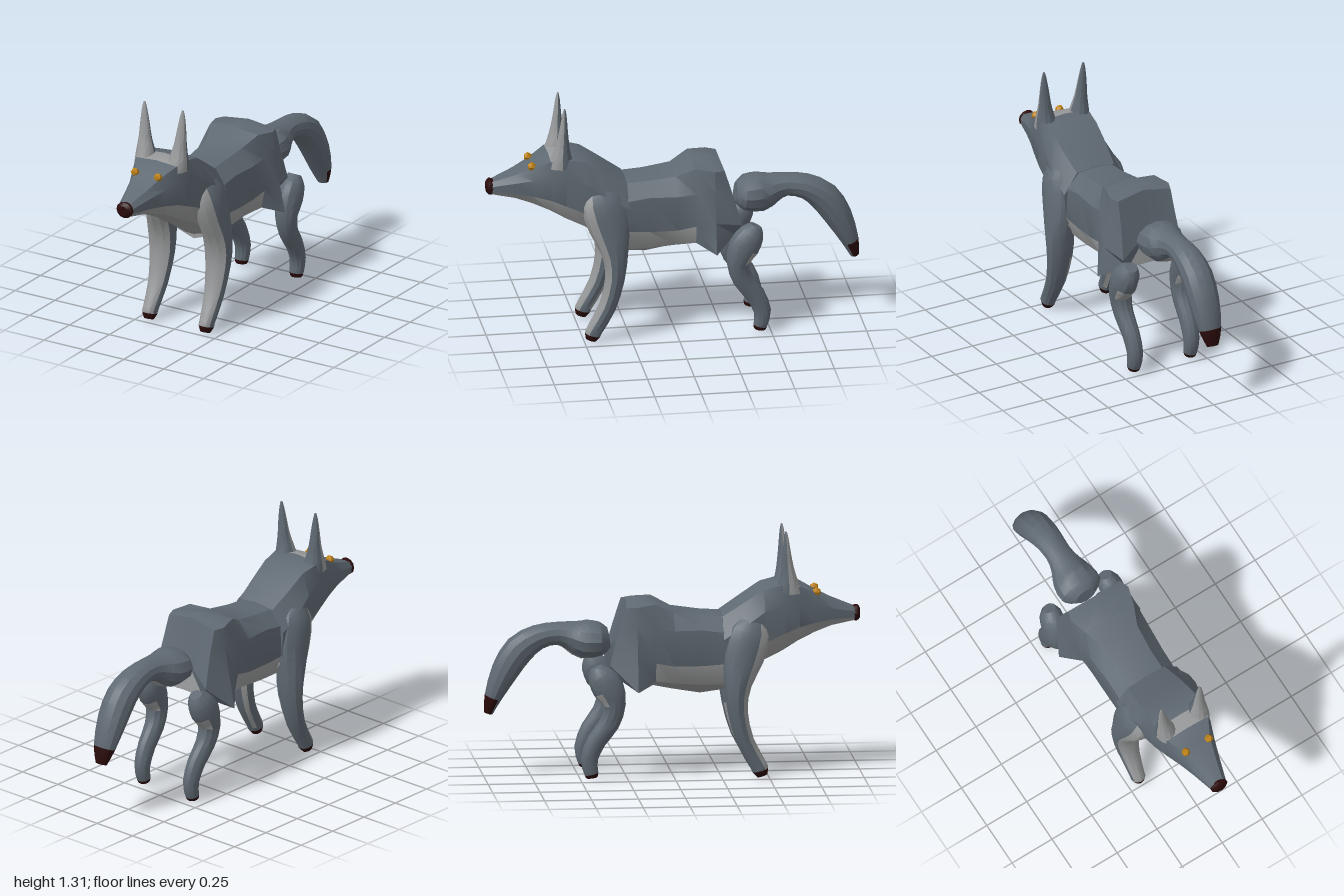
import * as THREE from 'three';
import { toCreasedNormals } from 'three/addons/utils/BufferGeometryUtils.js';

const slate = new THREE.MeshStandardMaterial({ color: 0x5f6972 });
slate.name = 'slateFur';
const pale = new THREE.MeshStandardMaterial({ color: 0x979899 });
pale.name = 'paleFur';
const dark = new THREE.MeshStandardMaterial({ color: 0x2a0a0a });
dark.name = 'darkBrown';
const amber = new THREE.MeshStandardMaterial({ color: 0xbd8013 });
amber.name = 'amber';
const palette = [slate, pale, dark];

// Skin over a row of rings, with closed ends; rule(i, j) picks the palette index of a facet
function skin(name, rings, rule) {
  const buckets = palette.map(() => []);
  const n = rings[0].length, last = rings.length - 1;
  const centre = (r) => r.reduce((s, p) => s.add(p), new THREE.Vector3()).divideScalar(n);
  const c0 = centre(rings[0]), c1 = centre(rings[last]);
  const tri = (m, ...pts) => pts.forEach((p) => buckets[m].push(p.x, p.y, p.z));
  for (let j = 0; j < n; j++) {
    const k = (j + 1) % n;
    tri(rule(0, j), c0, rings[0][k], rings[0][j]);
    tri(rule(last - 1, j), c1, rings[last][j], rings[last][k]);
    for (let i = 0; i < last; i++) {
      const a = rings[i], b = rings[i + 1], m = rule(i, j);
      tri(m, a[j], a[k], b[k]);
      tri(m, a[j], b[k], b[j]);
    }
  }
  let geo = new THREE.BufferGeometry();
  geo.setAttribute('position', new THREE.Float32BufferAttribute(buckets.flat(), 3));
  geo = toCreasedNormals(geo, 0.5);
  let start = 0;
  buckets.forEach((b, m) => {
    if (b.length) geo.addGroup(start, b.length / 3, m);
    start += b.length / 3;
  });
  const mesh = new THREE.Mesh(geo, palette);
  mesh.name = name;
  return mesh;
}

// Rounded limb along a path of [x, y, z, radius across, radius in depth];
// each path segment is split in two, and rule(segment, j) colours it
const SIDES = 12;
const facing = (j) => Math.sin(((j + 0.5) / SIDES) * Math.PI * 2);
function limb(name, path, side, rule) {
  const smooth = (pts) => new THREE.CatmullRomCurve3(pts, false, 'catmullrom').getPoints(2 * (path.length - 1));
  const spine = smooth(path.map(([x, y, z]) => new THREE.Vector3(side * x, y, z)));
  const radii = smooth(path.map(([, , , across, depth]) => new THREE.Vector3(across, depth, 0)));
  const rings = spine.map((c, i) => {
    const p = spine[Math.max(i - 1, 0)], q = spine[Math.min(i + 1, spine.length - 1)];
    const len = Math.hypot(q.y - p.y, q.z - p.z);
    const vy = (q.z - p.z) / len, vz = -(q.y - p.y) / len;
    return Array.from({ length: SIDES }, (_, j) => {
      const a = (j / SIDES) * Math.PI * 2, s = Math.sin(a) * radii[i].y;
      return new THREE.Vector3(c.x + Math.cos(a) * radii[i].x, c.y + vy * s, c.z + vz * s);
    });
  });
  return skin(name, rings, (i, j) => rule(i >> 1, j));
}

// Mirror a half outline (top to bottom) into a full ring
function mirrorRing(half) {
  const right = half.map((p) => new THREE.Vector3(...p));
  const left = half.slice(1, -1).reverse().map(([x, y, z]) => new THREE.Vector3(-x, y, z));
  return [...right, ...left];
}
const below = (j, row) => j >= row && j <= 9 - row;

export function createModel() {
  const model = new THREE.Group();
  model.name = 'fox';
  model.position.x = -0.007;

  // Head, neck and shoulders: [z, top, bottom, half width, width of the crown]
  const headSections = [
    [0.97, 0.888, 0.81, 0.047, 0.6], [0.85, 0.935, 0.785, 0.082, 0.7], [0.76, 0.98, 0.75, 0.11, 0.75],
    [0.67, 1.03, 0.705, 0.142, 0.9], [0.59, 1.045, 0.655, 0.162, 0.9], [0.48, 1.02, 0.6, 0.178, 0.75],
    [0.38, 0.955, 0.52, 0.197, 0.65], [0.26, 0.875, 0.46, 0.19, 0.6],
  ];
  const headRings = headSections.map(([z, top, bottom, w, crown]) => {
    const outline = [[0, 1], [crown, 0.97], [1, 0.7], [0.95, 0.3], [0.62, 0.08], [0, 0]];
    return mirrorRing(outline.map(([x, f]) => [x * w, bottom + (top - bottom) * f, z]));
  });
  model.add(skin('headAndShoulders', headRings, (i, j) => {
    if (i === 3 && (j === 0 || j === 9)) return 1;
    return below(j, 3) ? 1 : 0;
  }));

  // Torso with flared hips
  const flat = (z, pts) => mirrorRing(pts.map(([x, y]) => [x, y, z]));
  const torso = [
    flat(0.3, [[0, 0.87], [0.1, 0.86], [0.17, 0.78], [0.18, 0.62], [0.13, 0.5], [0, 0.455]]),
    flat(0.15, [[0, 0.88], [0.1, 0.87], [0.17, 0.8], [0.18, 0.61], [0.13, 0.5], [0, 0.435]]),
    flat(0, [[0, 0.9], [0.11, 0.89], [0.18, 0.8], [0.18, 0.61], [0.13, 0.51], [0, 0.46]]),
    flat(-0.1, [[0, 0.955], [0.15, 0.94], [0.185, 0.81], [0.19, 0.63], [0.17, 0.53], [0, 0.48]]),
    flat(-0.2, [[0, 0.965], [0.18, 0.93], [0.19, 0.82], [0.22, 0.65], [0.255, 0.485], [0, 0.5]]),
    mirrorRing([[0, 0.95, -0.245], [0.16, 0.925, -0.255], [0.165, 0.8, -0.295],
      [0.18, 0.62, -0.345], [0.13, 0.55, -0.31], [0, 0.56, -0.32]]),
  ];
  model.add(skin('torso', torso, (i, j) => (below(j, i < 3 ? 3 : 4) ? 1 : 0)));

  // Tail, dark on the outer side of its tip
  const tail = [
    [0, 0.74, -0.335, 0.06, 0.055], [0, 0.735, -0.38, 0.12, 0.092], [0, 0.735, -0.47, 0.115, 0.105],
    [0, 0.755, -0.54, 0.085, 0.08], [0, 0.768, -0.61, 0.07, 0.062], [0, 0.75, -0.71, 0.077, 0.068],
    [0, 0.685, -0.81, 0.085, 0.082], [0, 0.57, -0.887, 0.083, 0.074], [0, 0.43, -0.95, 0.064, 0.047],
    [0, 0.345, -0.975, 0.034, 0.024],
  ];
  model.add(limb('tail', tail, 1, (i, j) => {
    if (i === 8) return facing(j) < 0.4 ? 2 : 0;
    return i > 0 && i < 4 && facing(j) > 0.8 ? 1 : 0;
  }));

  // Nose
  const nose = [[0, 0.852, 0.962, 0.046, 0.04], [0, 0.852, 0.985, 0.049, 0.045], [0, 0.852, 1, 0.03, 0.028]];
  model.add(limb('nose', nose, 1, () => 2));

  const foreLeg = [
    [0.12, 0.88, 0.43, 0.04, 0.045], [0.148, 0.79, 0.405, 0.072, 0.108], [0.165, 0.65, 0.365, 0.075, 0.11],
    [0.175, 0.5, 0.335, 0.08, 0.072], [0.175, 0.36, 0.335, 0.073, 0.053], [0.175, 0.2, 0.375, 0.055, 0.047],
    [0.177, 0.07, 0.445, 0.041, 0.044], [0.177, 0.045, 0.455, 0.04, 0.043], [0.177, 0.015, 0.465, 0.026, 0.028],
  ];
  const hindLeg = [
    [0.175, 0.612, -0.42, 0.035, 0.035], [0.18, 0.57, -0.398, 0.06, 0.07], [0.185, 0.5, -0.355, 0.067, 0.085],
    [0.185, 0.41, -0.322, 0.06, 0.06], [0.18, 0.31, -0.35, 0.052, 0.055], [0.175, 0.22, -0.415, 0.046, 0.052],
    [0.172, 0.12, -0.455, 0.042, 0.046], [0.172, 0.04, -0.443, 0.037, 0.037], [0.172, 0.02, -0.44, 0.029, 0.029],
  ];
  const ear = [
    [0.1, 0.98, 0.612, 0.058, 0.075], [0.104, 1.05, 0.61, 0.05, 0.05], [0.11, 1.12, 0.605, 0.035, 0.034],
    [0.115, 1.2, 0.601, 0.026, 0.022], [0.119, 1.28, 0.598, 0.014, 0.012], [0.12, 1.315, 0.597, 0.005, 0.004],
  ];
  for (const side of [1, -1]) {
    const label = side > 0 ? 'left' : 'right';
    const innerRear = side > 0 ? 7 : 10;
    // Legs with dark feet, pale in front and on the inner rear of the shin
    model.add(limb(label + 'ForeLeg', foreLeg, side, (i, j) => {
      if (i > 6) return 2;
      return facing(j) > 0.4 || (i > 3 && i < 6 && j === innerRear) ? 1 : 0;
    }));
    model.add(limb(label + 'HindLeg', hindLeg, side, (i, j) => {
      if (i > 6) return 2;
      return i === 2 && facing(j) < -0.5 ? 1 : 0;
    }));
    // Ears, pale in front
    model.add(limb(label + 'Ear', ear, side, (i, j) => (facing(j) < -0.2 ? 1 : 0)));
    // Eyes
    const eye = new THREE.Mesh(new THREE.IcosahedronGeometry(0.024, 0), amber);
    eye.name = label + 'Eye';
    eye.position.set(side * 0.072, 0.98, 0.765);
    model.add(eye);
  }
  return model;
}
